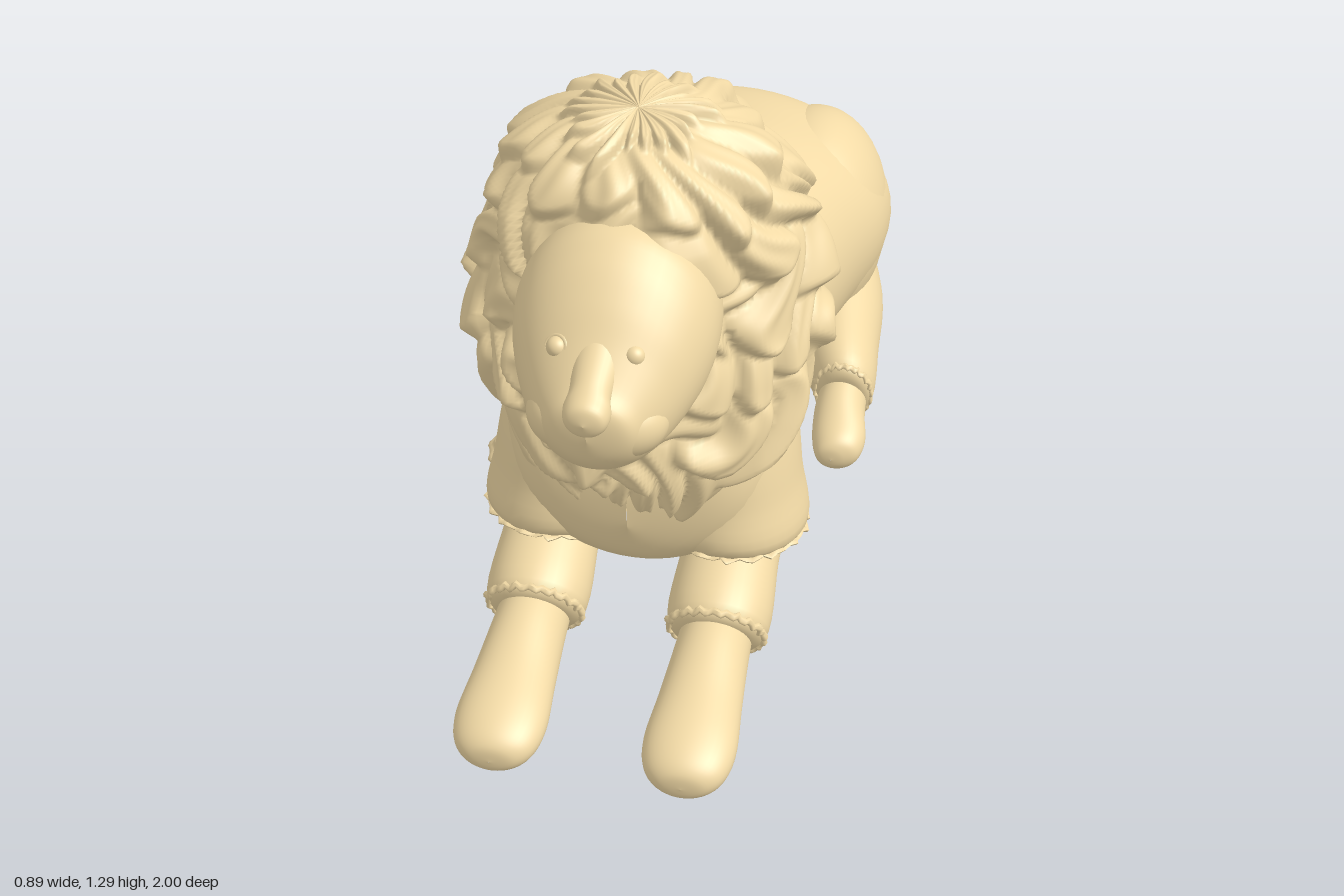
import * as THREE from 'three';

const CX = 0.025; // body midline
const material = new THREE.MeshStandardMaterial({ color: 0xf2daa6, roughness: 0.8 });

function add(parent, name, geometry, x = 0, y = 0, z = 0) {
  const mesh = new THREE.Mesh(geometry, material);
  mesh.name = name;
  mesh.position.set(x, y, z);
  parent.add(mesh);
  return mesh;
}

function ellipsoid(parent, name, c, r) {
  const mesh = add(parent, name, new THREE.SphereGeometry(1, 40, 28), ...c);
  mesh.scale.set(...r);
  return mesh;
}

// Smooth skin over elliptical sections [x, y, z, rx, r2, tilt in degrees].
// Tilt 0 faces +z (sections run forward); tilt 90 lies flat (sections run down).
function loft(sections, segments = 40, steps = 6) {
  const rows = (sections.length - 1) * steps;
  const pos = [], index = [];
  const at = (i) => sections[Math.max(0, Math.min(sections.length - 1, i))];
  for (let i = 0; i <= rows; i++) {
    const k = Math.min(Math.floor(i / steps), sections.length - 2);
    const t = i / steps - k;
    const [x, y, z, rx, r2, tilt] = at(k).map((b, m) => {
      const a = at(k - 1)[m], c = at(k + 1)[m], d = at(k + 2)[m];
      return b + 0.5 * t * (c - a + t * (2 * a - 5 * b + 4 * c - d + t * (3 * (b - c) + d - a)));
    });
    const q = THREE.MathUtils.degToRad(tilt);
    for (let j = 0; j < segments; j++) {
      const a = (j / segments) * Math.PI * 2;
      const s = Math.max(r2, 0.0005) * Math.sin(a);
      pos.push(x + Math.max(rx, 0.0005) * Math.cos(a), y + s * Math.cos(q), z + s * Math.sin(q));
      if (i === rows) continue;
      const n = (j + 1) % segments, o = i * segments;
      index.push(o + j, o + n, o + segments + n, o + j, o + segments + n, o + segments + j);
    }
  }
  const g = new THREE.BufferGeometry();
  g.setAttribute('position', new THREE.Float32BufferAttribute(pos, 3));
  g.setIndex(index);
  g.computeVertexNormals();
  return g;
}

const hash = (a, b) => {
  const s = Math.sin(a * 127.1 + b * 311.7) * 43758.5453;
  return s - Math.floor(s);
};

// Height of overlapping, wavy hair locks at angle a and row position v
function locks(a, v) {
  let best = 0;
  const calm = Math.min(1, v / 3);
  const w = v + calm * 0.3 * Math.sin(5 * a + 1);
  for (let k = Math.max(0, Math.floor(w) - 1); k <= Math.floor(w); k++) {
    const n = k === 0 ? 22 : 14;
    const sway = 0.25 * Math.sin(w * 3 + k * 2) + calm * 0.35 * Math.sin(w * 2.2 + 3 * a);
    const u = (a / (Math.PI * 2)) * n + (k % 2) * 0.5 + sway;
    const cell = Math.floor(u), f = 2 * (u - cell) - 1;
    const h = hash(k + 1, (cell + n) % n);
    const s = (w - k) / (1.1 + 0.6 * h - 0.45 * f * f);
    if (s <= 0 || s >= 1) continue;
    const body = Math.sqrt(s) * (1 - 0.75 * f * f) * Math.min(1, (1 - s) * 4);
    best = Math.max(best, body * (0.6 + 0.65 * h) + 0.06 * Math.cos(f * 7 + h * 6) * s * (1 - s) * 4);
  }
  return best;
}

function maneGeometry() {
  const segments = 216, steps = 16, rows = 8.5;
  const profile = [ // y, z, half width, half depth
    [1.29, 0.435, 0, 0], [1.265, 0.42, 0.095, 0.095], [1.195, 0.395, 0.2, 0.205], [1.085, 0.365, 0.275, 0.265],
    [0.97, 0.335, 0.31, 0.28], [0.85, 0.34, 0.32, 0.275], [0.74, 0.37, 0.315, 0.255],
    [0.62, 0.42, 0.285, 0.21], [0.5, 0.46, 0.205, 0.135], [0.41, 0.475, 0.085, 0.055], [0.37, 0.47, 0, 0],
  ];
  const g = loft(profile.map(([y, z, w, d]) => [CX + 0.005, y, z, w, d, 90]), segments, steps);
  const p = g.attributes.position, nrm = g.attributes.normal;
  const total = p.count / segments - 1;
  for (let i = 0; i < p.count; i++) {
    const t = Math.floor(i / segments) / total;
    const fade = Math.min(1, 0.1 + t * 3, t * 9, (1 - t) * 8);
    const d = 0.07 * fade * locks(((i % segments) / segments) * Math.PI * 2, t * rows);
    p.setXYZ(i, p.getX(i) + nrm.getX(i) * d, p.getY(i) + nrm.getY(i) * d, p.getZ(i) + nrm.getZ(i) * d);
  }
  g.computeVertexNormals();
  return g;
}

// Ragged fur ring around a limb
function cuff(parent, name, [x, y, z, rx, r2, tilt], thick = 0.009) {
  const g = new THREE.TorusGeometry(1, 0.07, 8, 72);
  const p = g.attributes.position;
  for (let i = 0; i < p.count; i++) {
    const a = Math.atan2(p.getY(i), p.getX(i));
    const swell = 0.99 + 0.025 * Math.sin(a * 18) + 0.02 * Math.sin(a * 31);
    p.setXYZ(i, p.getX(i) * rx * swell, p.getY(i) * r2 * swell, p.getZ(i) * 14 * thick + 0.004 * Math.sin(a * 23));
  }
  g.computeVertexNormals();
  add(parent, name, g, x, y, z).rotation.x = THREE.MathUtils.degToRad(tilt);
}

// Tapered straight segment with rounded joints
function segment(parent, name, a, b, ra, rb) {
  const from = new THREE.Vector3(...a), dir = new THREE.Vector3(...b).sub(from);
  const len = dir.length();
  const mesh = add(parent, name, new THREE.CylinderGeometry(rb, ra, len, 20));
  mesh.position.copy(from).addScaledVector(dir, 0.5);
  mesh.quaternion.setFromUnitVectors(new THREE.Vector3(0, 1, 0), dir.normalize());
  ellipsoid(parent, name + 'Joint', b, [rb, rb, rb]);
}

export function createModel() {
  const lion = new THREE.Group();
  lion.name = 'lyingLion';

  // Torso: z, top, bottom, half width
  const torso = [
    [-0.945, 0.42, 0.28, 0], [-0.925, 0.5, 0.15, 0.21], [-0.8, 0.61, 0.06, 0.372], [-0.6, 0.665, 0.06, 0.394],
    [-0.4, 0.695, 0.075, 0.345], [-0.2, 0.71, 0.095, 0.3], [0, 0.76, 0.12, 0.287], [0.18, 0.88, 0.14, 0.292],
    [0.34, 0.85, 0.15, 0.3], [0.46, 0.68, 0.18, 0.27], [0.53, 0.54, 0.24, 0.185], [0.56, 0.42, 0.34, 0],
  ];
  add(lion, 'torso', loft(torso.map(([z, t, b, w]) => [CX, (t + b) / 2, z, w, (t - b) / 2, 0]), 56));

  // Head and muzzle: z, top, bottom, half width
  const head = [
    [0.45, 1.12, 0.76, 0.18], [0.62, 1.15, 0.73, 0.2], [0.7, 1.125, 0.72, 0.195], [0.77, 1.07, 0.722, 0.172],
    [0.83, 1.005, 0.73, 0.14], [0.88, 0.955, 0.755, 0.105], [0.915, 0.93, 0.8, 0.07], [0.93, 0.89, 0.86, 0],
  ];
  const face = new THREE.Group();
  face.name = 'face';
  lion.add(face);
  const mid = CX + 0.005;
  add(face, 'head', loft(head.map(([z, t, b, w]) => [mid, (t + b) / 2, z, w, (t - b) / 2, 0]), 48));
  add(face, 'noseBridge', loft([
    [mid, 1.0, 0.74, 0.05, 0.06, 0], [mid, 0.965, 0.83, 0.046, 0.043, 0], [mid, 0.94, 0.89, 0.04, 0.038, 0],
    [mid, 0.92, 0.92, 0.046, 0.042, 0], [mid, 0.915, 0.947, 0.035, 0.031, 0], [mid, 0.915, 0.957, 0, 0, 0],
  ], 28));
  for (const s of [-1, 1]) {
    ellipsoid(face, 'muzzlePad', [mid + s * 0.038, 0.848, 0.828], [0.1, 0.077, 0.085]);
    ellipsoid(face, 'eye', [CX + s * 0.074, 0.985, 0.815], [0.021, 0.021, 0.02]);
    const lid = add(face, 'eyelid', new THREE.TorusGeometry(0.023, 0.006, 8, 28), CX + s * 0.074, 0.985, 0.817);
    lid.rotation.set(-0.6, s * 0.4, 0);
  }

  add(lion, 'mane', maneGeometry());

  for (const s of [-1, 1]) {
    const side = s > 0 ? 'left' : 'right';

    // Front leg: shoulder with hem, forearm, cuff and paw
    const fx = CX + s * 0.197;
    const front = new THREE.Group();
    front.name = side + 'FrontLeg';
    lion.add(front);
    const hem = [CX + s * 0.192, 0.228, 0.35, 0.152, 0.172, 82];
    add(front, 'shoulder', loft([
      [CX + s * 0.13, 0.7, 0.28, 0, 0, 90], [CX + s * 0.14, 0.66, 0.28, 0.1, 0.12, 90],
      [CX + s * 0.155, 0.52, 0.3, 0.15, 0.19, 90], [CX + s * 0.178, 0.36, 0.335, 0.155, 0.182, 86],
      hem, [CX + s * 0.192, 0.222, 0.35, 0, 0, 82],
    ]));
    cuff(front, 'shoulderHem', hem, 0.006);
    const wrist = [fx, 0.11, 0.59, 0.103, 0.104, 25];
    add(front, 'forearm', loft([
      [fx, 0.24, 0.2, 0, 0, 30], [fx, 0.23, 0.25, 0.1, 0.09, 30], [fx, 0.18, 0.42, 0.105, 0.1, 28],
      wrist, [fx, 0.108, 0.6, 0, 0, 25],
    ]));
    cuff(front, 'wristCuff', wrist);
    add(front, 'paw', loft([
      [fx, 0.1, 0.55, 0.075, 0.085, 15], [fx, 0.092, 0.66, 0.08, 0.084, 5], [fx, 0.078, 0.78, 0.088, 0.073, 0],
      [fx, 0.067, 0.89, 0.096, 0.064, 0], [fx, 0.058, 0.955, 0.083, 0.052, 0],
      [fx, 0.052, 0.988, 0.05, 0.032, 0], [fx, 0.05, 0.995, 0, 0, 0],
    ]));

    // Hind leg: haunch, shank, cuff and paw
    const hx = CX + s * 0.345;
    const hind = new THREE.Group();
    hind.name = side + 'HindLeg';
    lion.add(hind);
    ellipsoid(hind, 'haunch', [CX + s * 0.2, 0.35, -0.65], [0.192, 0.268, 0.3]);
    const ankle = [hx, 0.105, -0.29, 0.068, 0.092, 13];
    add(hind, 'shank', loft([
      [CX + s * 0.24, 0.14, -0.85, 0, 0, 0], [CX + s * 0.25, 0.135, -0.8, 0.09, 0.11, 0],
      [CX + s * 0.28, 0.145, -0.62, 0.116, 0.138, 0], [CX + s * 0.31, 0.13, -0.44, 0.1, 0.12, 5],
      ankle, [hx, 0.1, -0.28, 0, 0, 13],
    ]));
    cuff(hind, 'ankleCuff', ankle);
    add(hind, 'paw', loft([
      [hx, 0.09, -0.32, 0.055, 0.075, 8], [hx, 0.075, -0.24, 0.06, 0.068, 3], [hx + s * 0.008, 0.06, -0.17, 0.063, 0.055, 0],
      [hx + s * 0.008, 0.05, -0.125, 0.052, 0.045, 0], [hx, 0.047, -0.105, 0.03, 0.026, 0], [hx, 0.045, -0.1, 0, 0, 0],
    ]));
  }

  // Tail: drops from the rump and folds forward along the right side
  const tail = new THREE.Group();
  tail.name = 'tail';
  lion.add(tail);
  const path = [[0.02, 0.45, -0.885], [-0.11, 0.11, -0.95], [-0.36, 0.06, -0.74], [-0.395, 0.065, -0.3], [-0.37, 0.055, -0.04]];
  const radius = [0.065, 0.05, 0.048, 0.046, 0.03];
  for (let i = 0; i < 4; i++) segment(tail, 'tailSegment', path[i], path[i + 1], radius[i], radius[i + 1]);
  const tuft = new THREE.SphereGeometry(1, 40, 28);
  const tp = tuft.attributes.position;
  for (let i = 0; i < tp.count; i++) {
    const [x, y, z] = [tp.getX(i), tp.getY(i), tp.getZ(i)];
    const k = 1 + 0.13 * Math.sin(x * 5 + z * 4) * Math.cos(y * 6 - z * 5);
    tp.setXYZ(i, x * k * 0.054, y * k * 0.045, z * k * 0.085);
  }
  tuft.computeVertexNormals();
  add(tail, 'tailTuft', tuft, -0.365, 0.055, 0.005);

  return lion;
}
